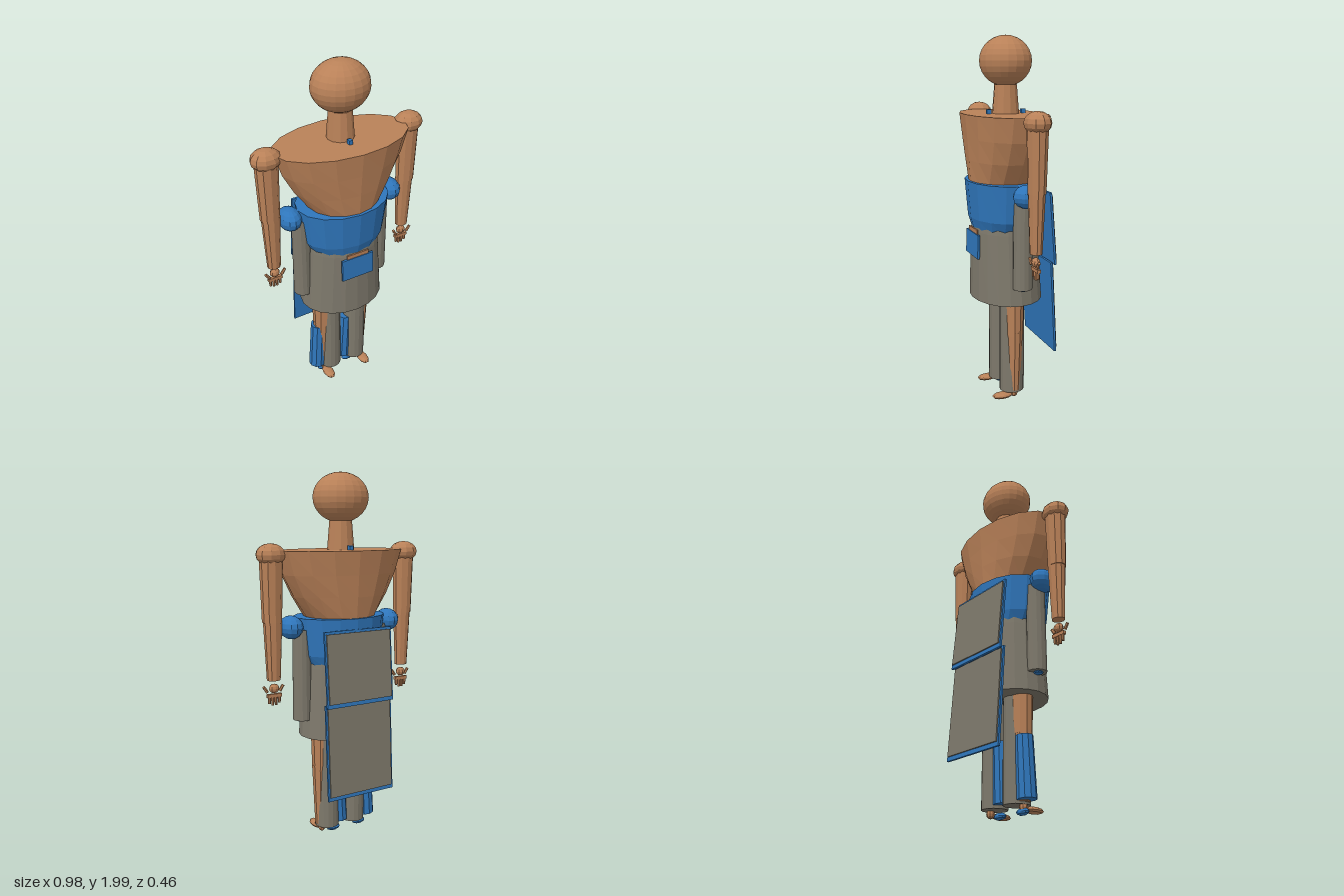
import * as THREE from 'three';

const mat = (name, color) => {
  const m = new THREE.MeshStandardMaterial({ color, flatShading: true, side: THREE.DoubleSide });
  m.name = name;
  return m;
};

// Closed loft of elliptical rings: [y, halfWidth, zFront, zBack]
function loft(rings, n) {
  const pos = [], idx = [];
  for (const [y, w, zf, zb] of rings) {
    for (let i = 0; i < n; i++) {
      const a = (i / n) * Math.PI * 2;
      pos.push(w * Math.sin(a), y, (zf + zb) / 2 + ((zf - zb) / 2) * Math.cos(a));
    }
  }
  for (let r = 0; r < rings.length - 1; r++) {
    for (let i = 0; i < n; i++) {
      const j = (i + 1) % n, a = r * n + i, b = r * n + j;
      idx.push(a, b, a + n, b, b + n, a + n);
    }
  }
  const top = (rings.length - 1) * n;
  for (let i = 1; i < n - 1; i++) {
    idx.push(0, i + 1, i);
    idx.push(top, top + i, top + i + 1);
  }
  const g = new THREE.BufferGeometry();
  g.setAttribute('position', new THREE.Float32BufferAttribute(pos, 3));
  g.setIndex(idx);
  g.computeVertexNormals();
  return g;
}

export function createModel() {
  const model = new THREE.Group();
  const skin = mat('skin', 0xb98158);
  const blue = mat('blueCloth', 0x2f76bb);
  const grey = mat('greyCloth', 0x7d786b);

  const add = (name, geo, material, x = 0, y = 0, z = 0, parent = model) => {
    const m = new THREE.Mesh(geo, material);
    m.name = name;
    m.position.set(x, y, z);
    parent.add(m);
    return m;
  };
  const ball = (name, material, x, y, z, rx, ry, rz, w = 12, h = 8) =>
    add(name, new THREE.SphereGeometry(1, w, h).scale(rx, ry, rz), material, x, y, z);
  // Tapered upright limb between two heights
  const limb = (name, material, x, z, y0, y1, r0, r1, depth = 1, n = 12) =>
    add(name, new THREE.CylinderGeometry(r1, r0, y1 - y0, n).scale(1, 1, depth), material, x, (y0 + y1) / 2, z);
  const box = (name, material, x, y, z, w, h, d, parent = model) =>
    add(name, new THREE.BoxGeometry(w, h, d), material, x, y, z, parent);

  // Head, neck and body
  ball('head', skin, 0, 1.87, 0, 0.153, 0.13, 0.136, 20, 14);
  limb('neck', skin, 0, 0, 1.58, 1.75, 0.074, 0.06, 1, 12);
  add('torso', loft([
    [1.0, 0.15, 0.15, -0.13],
    [1.25, 0.2, 0.2, -0.168],
    [1.36, 0.275, 0.207, -0.178],
    [1.475, 0.335, 0.215, -0.187],
    [1.6, 0.375, 0.226, -0.2],
  ], 16), skin);
  add('waistWrap', loft([
    [0.97, 0.19, 0.178, -0.158],
    [1.05, 0.238, 0.2, -0.172],
    [1.25, 0.262, 0.215, -0.18],
  ], 16), blue);
  add('skirt', loft([
    [0.6, 0.243, 0.197, -0.192],
    [0.98, 0.212, 0.187, -0.167],
    [1.08, 0.2, 0.175, -0.155],
  ], 20), grey);

  // Loincloth flap with a strip of skin above it
  const flap = box('frontFlap', blue, -0.002, 0.905, 0.19, 0.19, 0.13, 0.012);
  flap.rotation.x = -0.03;
  box('bellyStrip', skin, 0, 0.982, 0.187, 0.13, 0.022, 0.008);

  // Collar studs
  for (const z of [0.095, -0.1]) box('collarStud', blue, 0, 1.61, z, 0.02, 0.025, 0.024);

  for (const s of [-1, 1]) {
    // Arms
    ball('shoulder', skin, s * 0.41, 1.582, 0, 0.08, 0.057, 0.068, 10, 8);
    limb('upperArm', skin, s * 0.409, 0, 1.24, 1.57, 0.053, 0.062, 0.85, 10);
    limb('forearm', skin, s * 0.406, 0, 0.935, 1.25, 0.037, 0.051, 0.85, 10);
    // Hands
    ball('palm', skin, s * 0.405, 0.89, 0, 0.029, 0.025, 0.022, 8, 6);
    for (let i = 0; i < 4; i++) {
      const x = s * 0.405 + (i - 1.5) * 0.019;
      limb('finger', skin, x, 0, i % 3 ? 0.8 : 0.81, 0.85, 0.007, 0.009, 1, 6);
    }
    box('knuckles', skin, s * 0.405, 0.852, 0, 0.082, 0.018, 0.018);
    for (const t of [-1, 1]) {
      const thumb = limb('thumb', skin, s * 0.405 + t * 0.046, 0.008, 0.868, 0.905, 0.009, 0.008, 1, 6);
      thumb.rotation.z = t * -0.6;
    }

    // Hip puffs and hanging sleeves
    ball('hipPuff', blue, s * 0.302, 1.205, 0, 0.062, 0.062, 0.08, 12, 8);
    limb('hangingSleeve', grey, s * 0.24, 0, 0.7, 1.19, 0.052, 0.05, 1, 14);
    ball('sleeveTip', blue, s * 0.25, 0.698, 0, 0.025, 0.012, 0.025, 8, 6);

    // Bare legs and feet
    limb('thigh', skin, s * 0.118, 0, 0.4, 0.95, 0.06, 0.075, 0.85, 10);
    limb('shin', skin, s * 0.121, 0, 0.07, 0.42, 0.042, 0.058, 0.85, 10);
    ball('foot', skin, s * 0.123, 0.037, 0.068, 0.032, 0.018, 0.06, 10, 6);
    ball('ankle', skin, s * 0.125, 0.045, 0, 0.022, 0.025, 0.022, 8, 6);
    // Trouser legs and leggings
    limb('trouserLeg', grey, 0.008 + s * 0.084, 0, 0.058, 0.9, 0.067, 0.066, 1.04, 16);
    const legging = limb('legging', blue, -0.063 + s * 0.09, -0.008, 0.075, 0.39, 0.05, 0.046, 1, 10);
    legging.rotation.z = -0.05;
    ball('slipper', blue, -0.035 + s * 0.085, 0.024, 0, 0.042, 0.018, 0.022, 10, 6);
  }

  // Two overlapping back panels, each a blue board faced in grey
  const panel = (name, y, z, h, tilt) => {
    const g = new THREE.Group();
    g.name = name;
    g.position.set(0, y, z);
    g.rotation.x = tilt;
    box('panelBoard', blue, 0, 0, 0, 0.408, h, 0.012, g);
    box('panelFacing', grey, 0, 0.004, -0.009, 0.388, h - 0.035, 0.008, g);
    model.add(g);
  };
  panel('upperBackPanel', 0.995, -0.193, 0.4, 0.085);
  panel('lowerBackPanel', 0.55, -0.202, 0.52, 0.06);

  // Stand on the ground
  const lowest = new THREE.Box3().setFromObject(model).min.y;
  model.position.y = -lowest;
  return model;
}
